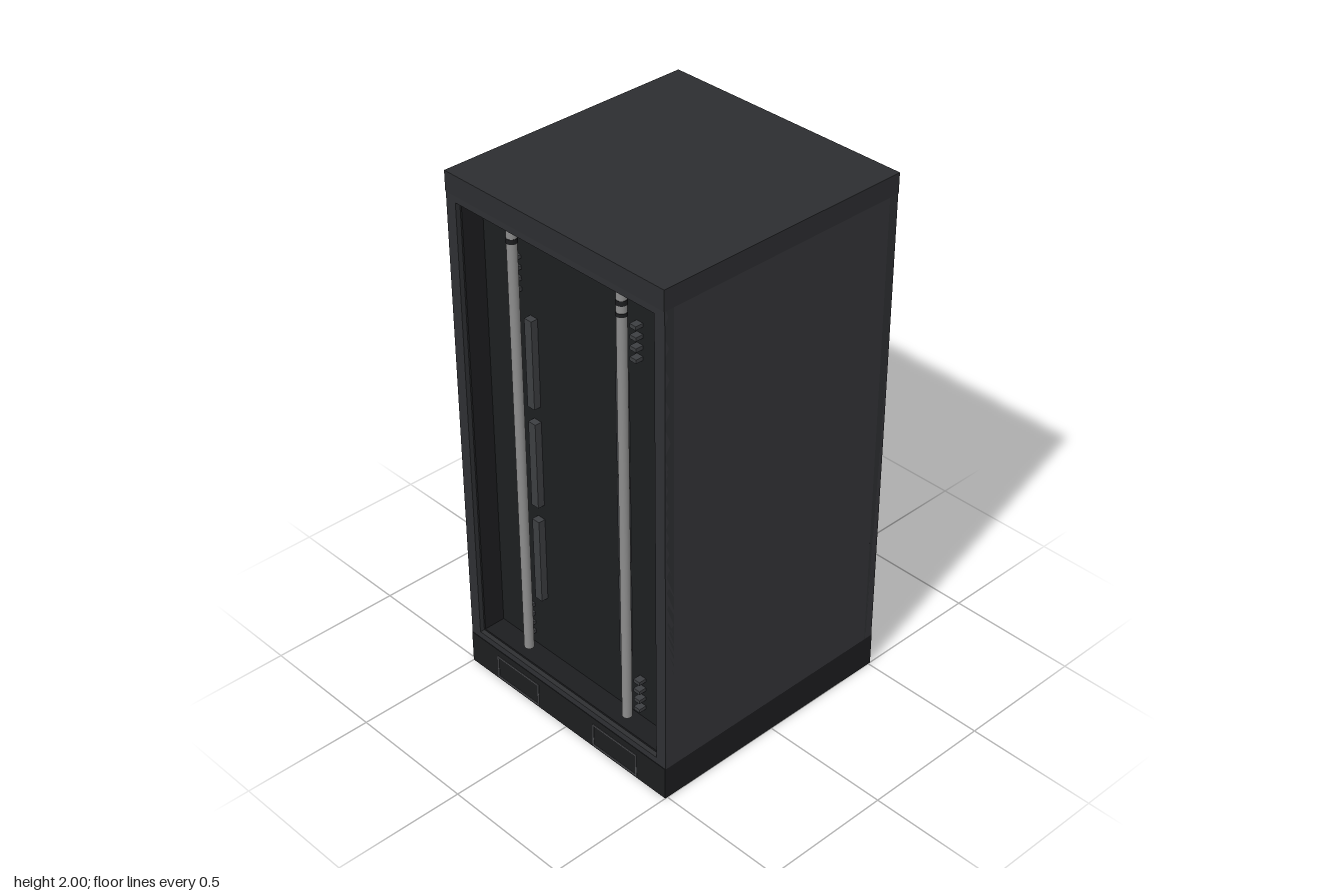
import * as THREE from 'three';
import { mergeGeometries } from 'three/addons/utils/BufferGeometryUtils.js';

const paint = (color) => new THREE.MeshStandardMaterial({ color });
const SHELL = paint(0x343438), CAP = paint(0x2c2d30), BASE = paint(0x1c1d1f), FRAME = paint(0x2e2f32);
const PANEL = paint(0x1c1e20), BLADE = paint(0x2a2b2e), PORT = paint(0x4a4b4e), DRIVE = paint(0x5c5d60);
const METAL = paint(0x8c8c8c), BRACKET = paint(0x3c3e41);

// Box geometry given by its limits on each axis
function block(x0, x1, y0, y1, z0, z1) {
  return new THREE.BoxGeometry(x1 - x0, y1 - y0, z1 - z0)
    .translate((x0 + x1) / 2, (y0 + y1) / 2, (z0 + z1) / 2);
}

// Rectangular ring in the xy plane, extruded from z0 to z1
function ring(x0, x1, y0, y1, border, z0, z1) {
  const rect = (P, a, b, c, d) => {
    const p = new P();
    p.moveTo(a, c); p.lineTo(b, c); p.lineTo(b, d); p.lineTo(a, d); p.closePath();
    return p;
  };
  const shape = rect(THREE.Shape, x0, x1, y0, y1);
  const [bx, by] = border;
  shape.holes.push(rect(THREE.Path, x0 + bx, x1 - bx, y0 + by, y1 - by));
  return new THREE.ExtrudeGeometry(shape, { depth: z1 - z0, bevelEnabled: false }).translate(0, 0, z0);
}

export function createModel() {
  const model = new THREE.Group();
  model.name = 'serverCabinet';
  const add = (name, material, ...geometries) => {
    const mesh = new THREE.Mesh(geometries.length > 1 ? mergeGeometries(geometries) : geometries[0], material);
    mesh.name = name;
    model.add(mesh);
  };

  // Cabinet shell
  add('plinth', BASE, block(-0.5, 0.5, 0, 0.13, -0.51, 0.51));
  add('topCap', CAP, block(-0.5, 0.5, 1.925, 2, -0.51, 0.51));
  add('sidePanels', SHELL, ...[-1, 1].map((s) =>
    block(s * 0.49 - 0.01, s * 0.49 + 0.01, 0.13, 1.925, -0.505, 0.505)));
  add('frontFrame', FRAME, ring(-0.5, 0.5, 0.13, 1.925, [0.045, 0.025], 0.47, 0.508));
  add('backFrame', FRAME, ring(-0.5, 0.5, 0.13, 1.925, [0.04, 0.025], -0.508, -0.47));
  add('frontLip', BASE, ring(-0.46, 0.46, 0.15, 1.905, [0.012, 0.012], 0.4, 0.49));
  add('frontPanel', PANEL, block(-0.48, 0.48, 0.13, 1.925, 0.36, 0.405));
  add('backPanel', BASE, block(-0.48, 0.48, 0.13, 1.925, -0.42, -0.38));

  // Outlined covers on both faces of the plinth
  const outlines = [];
  for (const z of [-0.512, 0.508]) {
    for (const x of [-0.25, 0.25]) outlines.push(ring(x - 0.11, x + 0.11, 0.008, 0.103, [0.006, 0.006], z, z + 0.004));
  }
  add('plinthCoverOutlines', PORT, ...outlines);

  // Upright pipes at the front, with dark collars
  for (const s of [-1, 1]) {
    const side = s > 0 ? 'left' : 'right';
    const tube = (r, y0, y1) => new THREE.CylinderGeometry(r, r, y1 - y0, 20)
      .translate(s * 0.253, (y0 + y1) / 2, 0.452);
    add(side + 'Pipe', METAL, tube(0.018, 0.18, 1.9));
    const collars = [tube(0.0195, 1.82, 1.838)];
    if (s > 0) collars.push(tube(0.0195, 1.78, 1.793));
    add(side + 'PipeCollars', BASE, ...collars);

    // Manifold bars beside the pipes and small couplings next to the drive shelves
    const bars = [0.4, 0.8, 1.2].map((y) => block(s * 0.215 - 0.017, s * 0.215 + 0.017, y, y + 0.34, 0.4, 0.432));
    add(side + 'ManifoldBars', BRACKET, ...bars);
    const couplings = [];
    for (const base of [0.205, 1.615]) {
      for (let i = 0; i < 4; i++) {
        const y = base + i * 0.04;
        couplings.push(block(s * 0.282 - 0.014, s * 0.282 + 0.014, y, y + 0.014, 0.4, 0.435));
      }
    }
    add(side + 'Couplings', BRACKET, ...couplings);
  }

  // Shelves of drives at the back: four rows, seven columns in each half
  const drives = [];
  for (const base of [0.185, 1.595]) {
    for (let row = 0; row < 4; row++) {
      for (const x0 of [-0.445, 0.01]) {
        for (let col = 0; col < 7; col++) {
          const x = x0 + col * 0.0625, y = base + row * 0.039;
          drives.push(block(x, x + 0.057, y, y + 0.031, -0.462, -0.42));
        }
      }
    }
  }
  add('driveUnits', DRIVE, ...drives);

  // Blade chassis: ten slats per chassis, with columns of port blocks [x0, x1]
  const outer = [[0.395, 0.45], [0.168, 0.207], [0.012, 0.074], [-0.045, -0.006], [-0.3, -0.262]];
  const middle = [[0.363, 0.45], [0.012, 0.09], [-0.105, -0.006]];
  const slats = [], ports = [], studs = [];
  [[0.39, outer], [0.79, middle], [1.19, outer]].forEach(([base, columns]) => {
    for (let i = 0; i < 10; i++) {
      const y = base + i * 0.0355;
      slats.push(block(-0.445, -0.005, y, y + 0.02, -0.455, -0.42));
      slats.push(block(0.01, 0.45, y, y + 0.02, -0.455, -0.42));
      for (const [x0, x1] of columns) ports.push(block(x0, x1, y, y + 0.027, -0.462, -0.42));
      for (const x of [0.016, -0.022]) studs.push(block(x, x + 0.01, y + 0.006, y + 0.02, -0.465, -0.46));
    }
  });
  add('bladeSlats', BLADE, ...slats);
  add('bladePorts', PORT, ...ports);
  add('bladeStuds', METAL, ...studs);

  // Thin network units above the top drive shelf
  const units = [], sockets = [];
  for (let i = 0; i < 3; i++) {
    const y = 1.775 + i * 0.038;
    units.push(block(-0.445, -0.005, y, y + 0.028, -0.455, -0.42), block(0.01, 0.45, y, y + 0.028, -0.455, -0.42));
    for (const x of [-0.2, 0.2]) sockets.push(block(x - 0.1, x + 0.1, y + 0.008, y + 0.018, -0.459, -0.45));
  }
  add('networkUnits', BLADE, ...units);
  add('networkSockets', BRACKET, ...sockets);

  // Dividers between the chassis and down the middle
  add('shelfDividers', PANEL, ...[0.365, 0.762, 1.164, 1.564].map((y) =>
    block(-0.46, 0.46, y - 0.012, y + 0.012, -0.45, -0.42)));
  return model;
}
